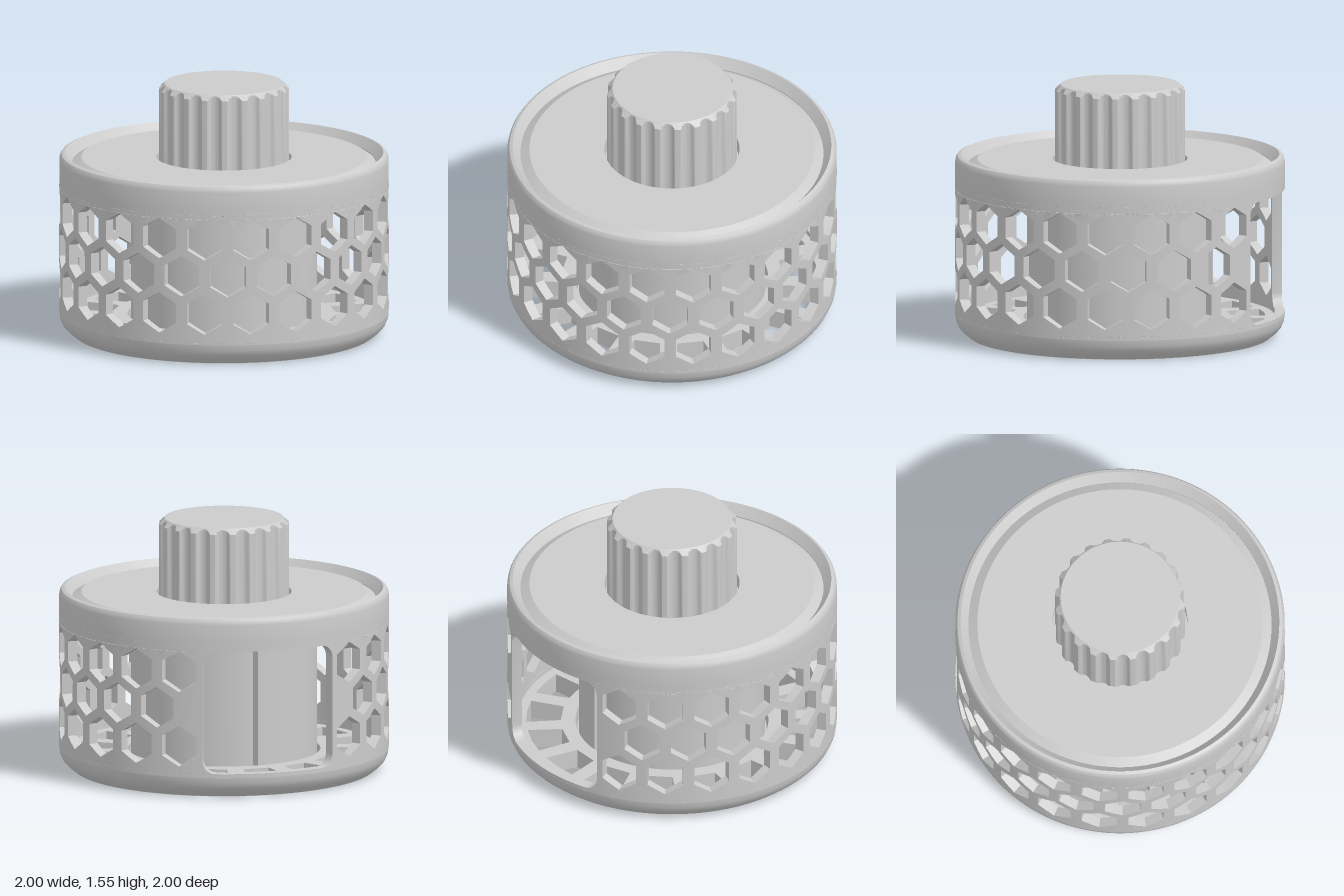
import * as THREE from 'three';
import { toCreasedNormals } from 'three/addons/utils/BufferGeometryUtils.js';

const material = new THREE.MeshStandardMaterial({ color: 0xcccccc, side: THREE.DoubleSide });
const V = (x, y) => new THREE.Vector2(x, y);

function part(group, name, geometry) {
  const mesh = new THREE.Mesh(toCreasedNormals(geometry, 0.45), material);
  mesh.name = name;
  group.add(mesh);
}

const lathe = (points, segments = 128) =>
  new THREE.LatheGeometry(points.map(([x, y]) => V(x, y)), segments);

// Flat shape in plan, extruded upwards from y0
function slab(shape, y0, height) {
  const g = new THREE.ExtrudeGeometry(shape, { depth: height, bevelEnabled: false, curveSegments: 96 });
  return g.rotateX(-Math.PI / 2).translate(0, y0, 0);
}

// Wraps a flat outline with holes (angle, height) around the y axis as a wall
function wrappedWall(outline, holes, outer, inner, isOpenEdge) {
  const maxStep = 0.06;
  const pos = [];
  const put = (p, r) => pos.push(r * Math.sin(p.x), p.y, r * Math.cos(p.x));
  const mid = (a, b) => V((a.x + b.x) / 2, (a.y + b.y) / 2);

  const face = (a, b, c) => {
    const spans = [[a, b, c], [b, c, a], [c, a, b]];
    spans.sort((s, t) => Math.abs(t[0].x - t[1].x) - Math.abs(s[0].x - s[1].x));
    const [p, q, r] = spans[0];
    if (Math.abs(p.x - q.x) > maxStep) {
      const m = mid(p, q);
      face(p, m, r);
      face(m, q, r);
      return;
    }
    [a, b, c].forEach((v) => put(v, outer));
    [a, c, b].forEach((v) => put(v, inner));
  };
  const edge = (a, b) => {
    if (Math.abs(a.x - b.x) > maxStep) {
      const m = mid(a, b);
      edge(a, m);
      edge(m, b);
      return;
    }
    put(a, outer); put(a, inner); put(b, inner);
    put(a, outer); put(b, inner); put(b, outer);
  };

  const all = [outline, ...holes].flat();
  for (const [i, j, k] of THREE.ShapeUtils.triangulateShape(outline, holes)) {
    const ccw = THREE.ShapeUtils.area([all[i], all[j], all[k]]) > 0;
    face(all[i], all[ccw ? j : k], all[ccw ? k : j]);
  }
  for (const loop of [outline, ...holes]) {
    loop.forEach((a, i) => {
      const b = loop[(i + 1) % loop.length];
      if (loop !== outline || isOpenEdge(a, b)) edge(a, b);
    });
  }
  const g = new THREE.BufferGeometry();
  g.setAttribute('position', new THREE.Float32BufferAttribute(pos, 3));
  return g;
}

// Honeycomb wall with a rounded window at the back
function honeycomb() {
  const y0 = 0.13, y1 = 0.96, low = 0.155, high = 0.91, half = 0.425, r = 0.08;
  const side = Math.PI - half;
  const notch = [V(Math.PI, low)];
  for (const [cy, start] of [[low + r, -Math.PI / 2], [high - r, Math.PI]]) {
    for (let i = 0; i <= 6; i++) {
      const a = start - (i / 6) * (Math.PI / 2);
      notch.push(V(side + r + r * Math.cos(a), cy + r * Math.sin(a)));
    }
  }
  notch.push(V(Math.PI, high));
  const mirrored = notch.map((p) => V(-p.x, p.y)).reverse();
  const outline = [V(-Math.PI, y0), V(Math.PI, y0), ...notch, V(Math.PI, y1), V(-Math.PI, y1), ...mirrored];

  const holes = [];
  const pitch = (Math.PI * 2) / 22;
  [0.32, 0.552, 0.78].forEach((cy, row) => {
    for (let i = -11; i <= 11; i++) {
      const u = (i + (row === 1 ? 0.5 : 0)) * pitch;
      if (Math.abs(u) + 0.11 > side - 0.02) continue;
      const hex = [];
      for (let k = 0; k < 6; k++) {
        const a = Math.PI / 2 - (k * Math.PI) / 3;
        hex.push(V(u + 0.125 * Math.cos(a), cy + 0.125 * Math.sin(a)));
      }
      holes.push(hex);
    }
  });
  const isOpenEdge = (a, b) =>
    !(a.y === b.y && (a.y === y0 || a.y === y1)) &&
    !(Math.abs(a.x) === Math.PI && Math.abs(b.x) === Math.PI);
  return wrappedWall(outline, holes, 1, 0.94, isOpenEdge);
}

// Floor ring with sixteen tapered vents
function ventedFloor() {
  const shape = new THREE.Shape().absarc(0, 0, 0.91, 0, Math.PI * 2);
  shape.holes.push(new THREE.Path().absarc(0, 0, 0.585, 0, Math.PI * 2, true));
  for (let i = 0; i < 16; i++) {
    const a = (i * Math.PI) / 8;
    const corners = [[0.67, -0.08], [0.67, 0.08], [0.875, 0.125], [0.885, 0], [0.875, -0.125]];
    shape.holes.push(new THREE.Path(corners.map(([x, y]) => V(x, y).rotateAround(V(0, 0), a))));
  }
  return slab(shape, 0, 0.12);
}

// Hub tube with an upright slot facing the back
function slottedHub() {
  const gap = 0.08, a0 = Math.PI / 2 + gap, a1 = Math.PI * 2.5 - gap;
  const shape = new THREE.Shape();
  shape.absarc(0, 0, 0.565, a0, a1, false);
  shape.absarc(0, 0, 0.47, a1, a0, true);
  shape.closePath();
  return slab(shape, 0.03, 0.97);
}

// Fluted knob with a chamfered top
function flutedKnob() {
  const g = lathe([[0.395, 1.0], [0.395, 1.515], [0.386, 1.523], [0.377, 1.531],
    [0.368, 1.539], [0.36, 1.547], [0, 1.547]], 320);
  const p = g.attributes.position;
  const pitch = Math.PI / 10;
  for (let i = 0; i < p.count; i++) {
    const r = Math.hypot(p.getX(i), p.getZ(i));
    if (r < 0.1) continue;
    const a = Math.atan2(p.getX(i), p.getZ(i));
    const t = (a - Math.round(a / pitch) * pitch) / 0.1;
    const limit = 0.395 - 0.028 * Math.sqrt(Math.max(0, 1 - t * t));
    const s = Math.min(r, limit) / r;
    p.setX(i, p.getX(i) * s);
    p.setZ(i, p.getZ(i) * s);
  }
  return g;
}

export function createModel() {
  const group = new THREE.Group();
  group.name = 'honeycombCanister';

  part(group, 'honeycombWall', honeycomb());
  part(group, 'baseRim', lathe([[0.9, 0], [0.915, 0.003], [0.955, 0.035], [0.98, 0.062], [0.995, 0.095],
    [1, 0.13], [0.94, 0.13], [0.94, 0.12], [0.9, 0.12]]));
  part(group, 'ventedFloor', ventedFloor());

  // Top rim with rounded outer edge and sloped inner edge
  part(group, 'topRim', lathe([[0.94, 0.96], [1, 0.96], [1, 1.075], [0.996, 1.095], [0.986, 1.11],
    [0.967, 1.118], [0.92, 1.06], [0.92, 0.98], [0.94, 0.96]]));

  // Lid disc with a bevelled edge and a hole for the knob
  part(group, 'lid', lathe([[0.41, 0.98], [0.925, 0.98], [0.92, 1.055], [0.865, 1.09],
    [0.41, 1.09], [0.41, 0.98]]));

  part(group, 'hub', slottedHub());
  part(group, 'hubCore', lathe([[0, 0.03], [0.48, 0.03], [0.48, 1.0], [0, 1.0]]));
  part(group, 'basePlate', lathe([[0, 0], [0.575, 0], [0.575, 0.06], [0, 0.06]]));
  part(group, 'knob', flutedKnob());
  return group;
}
